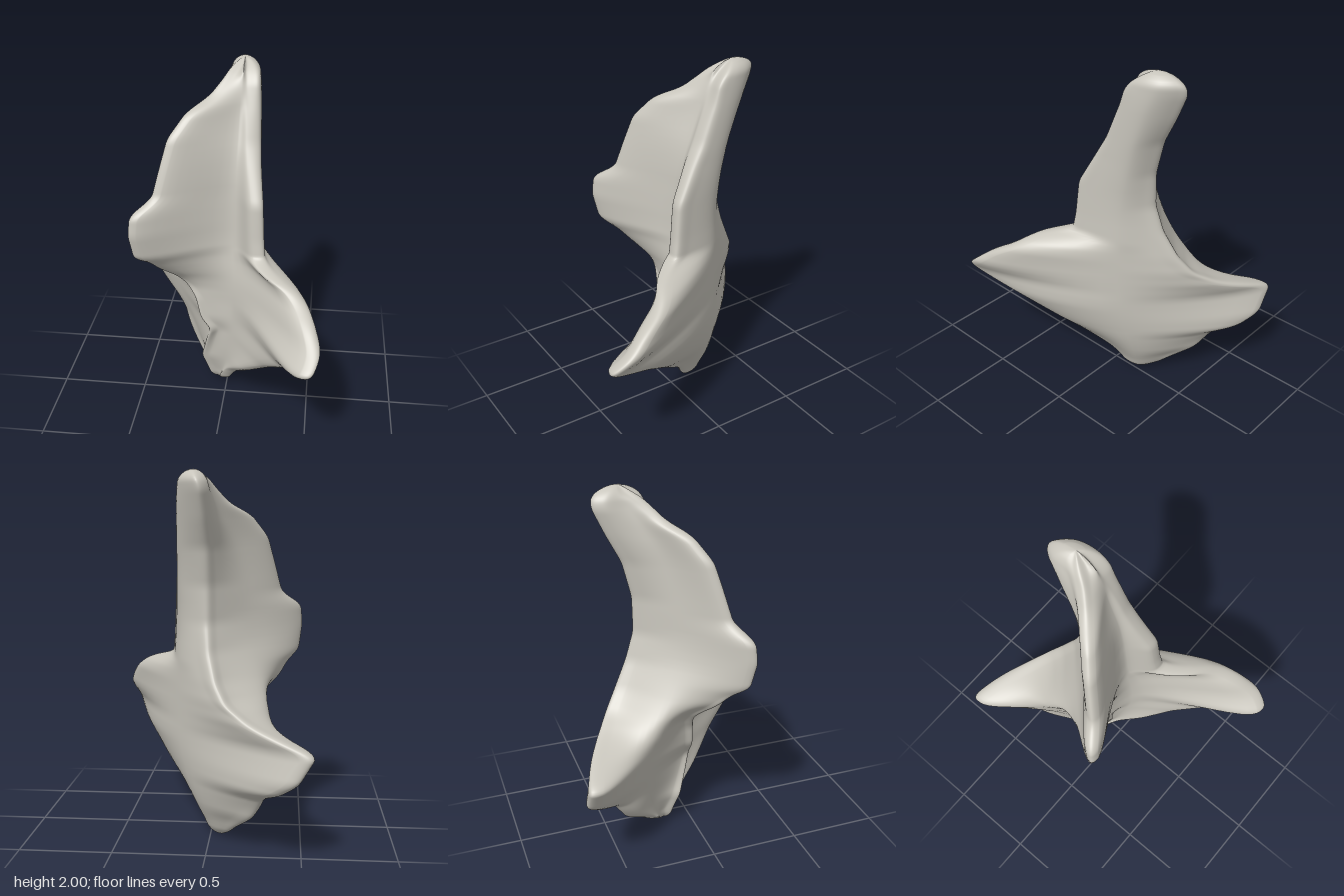
import * as THREE from 'three';

// Rails running up the body, each a list of [y, x, z].
const outerRail = [[0, -0.02, -0.17], [0.1, 0.03, -0.2], [0.25, 0.1, -0.21], [0.5, 0.17, -0.18], [0.9, 0.185, -0.16],
  [1.2, 0.165, -0.17], [1.5, 0.16, -0.23], [1.8, 0.155, -0.33], [1.9, 0.15, -0.37], [2, 0.13, -0.42]];
const frontRail = [[0, 0, -0.1], [0.08, 0.03, -0.06], [0.15, 0.07, -0.01], [0.245, 0.15, 0.11], [0.39, 0.29, 0.26], [0.54, 0.43, 0.46],
  [0.6, 0.48, 0.62], [0.64, 0.51, 0.71], [0.7, 0.545, 0.64], [0.74, 0.55, 0.59], [0.82, 0.515, 0.49], [0.88, 0.47, 0.38],
  [0.94, 0.39, 0.3], [0.97, 0.28, 0.24], [0.99, 0.23, 0.12], [1.1, 0.22, 0.1], [1.3, 0.21, 0.08], [1.48, 0.185, -0.02],
  [1.6, 0.175, -0.09], [1.8, 0.165, -0.17], [1.9, 0.16, -0.2], [2, 0.14, -0.29]];
const frontHollow = [[0, -0.05, -0.12], [0.2, 0, -0.03], [0.5, 0.06, 0.04], [0.8, 0.06, 0.04], [1, 0.04, 0],
  [1.3, 0.04, -0.02], [1.48, 0.05, -0.04], [1.6, 0.06, -0.08], [1.75, 0.06, -0.14], [1.9, 0.07, -0.175], [2, 0.08, -0.26]];
const wingRail = [[0, -0.09, -0.13], [0.1, -0.12, -0.11], [0.2, -0.15, -0.08], [0.35, -0.11, -0.03], [0.44, -0.08, 0],
  [0.52, -0.14, 0], [0.65, -0.17, -0.01], [0.73, -0.22, -0.03], [0.79, -0.28, -0.02], [0.87, -0.37, 0.05], [0.95, -0.42, 0.12],
  [1.0, -0.48, 0.19], [1.15, -0.5, 0.22], [1.26, -0.49, 0.21], [1.34, -0.38, 0.13], [1.5, -0.34, 0.09], [1.65, -0.3, 0.05],
  [1.77, -0.21, -0.03], [1.83, -0.1, -0.13], [1.92, -0.02, -0.21], [2, 0.03, -0.3]];
const backHollow = [[0, -0.09, -0.18], [0.2, -0.17, -0.24], [0.4, -0.25, -0.29], [0.6, -0.34, -0.34], [0.7, -0.34, -0.31],
  [0.8, -0.3, -0.24], [0.9, -0.28, -0.18], [1, -0.25, -0.13], [1.15, -0.22, -0.08], [1.5, -0.16, -0.11], [1.7, -0.11, -0.16],
  [1.85, -0.03, -0.28], [2, 0.02, -0.39]];
const backRail = [[0, -0.08, -0.21], [0.08, -0.13, -0.3], [0.18, -0.23, -0.43], [0.25, -0.27, -0.47], [0.33, -0.3, -0.52],
  [0.37, -0.37, -0.63], [0.45, -0.47, -0.7], [0.6, -0.56, -0.7], [0.66, -0.4, -0.65], [0.72, -0.23, -0.57], [0.8, -0.1, -0.49],
  [0.9, -0.04, -0.42], [1.05, 0, -0.34], [1.2, 0.01, -0.29], [1.4, 0.01, -0.29], [1.6, 0.01, -0.34], [1.75, 0.02, -0.42],
  [1.9, 0.03, -0.49], [2, 0.06, -0.48]];

const clamp = THREE.MathUtils.clamp;

function linear(rail, y) {
  let i = 1;
  while (i < rail.length - 1 && rail[i][0] < y) i++;
  const a = rail[i - 1], b = rail[i], k = clamp((y - a[0]) / (b[0] - a[0]), 0, 1);
  return new THREE.Vector3(a[1] + (b[1] - a[1]) * k, 0, a[2] + (b[2] - a[2]) * k);
}

// Softened position of a rail at height y
function along(rail, y, reach) {
  const p = new THREE.Vector3();
  for (let k = -4; k <= 4; k++) p.add(linear(rail, clamp(y + k * reach / 4, 0, 2)));
  return p.divideScalar(9);
}

// Three rounded arms joined by an outer face and two hollows
function crossSection(y, samples) {
  const [f, w, b] = [frontRail, wingRail, backRail].map(r => along(r, y, 0.025));
  const [o, i2, i1] = [outerRail, frontHollow, backHollow].map(r => along(r, y, 0.1));
  const hub = new THREE.Vector3().add(o).add(i1).add(i2).divideScalar(3);
  const arm = (tip, thick) => {
    const d = tip.clone().sub(hub), t = Math.min(thick, d.length() * 0.4);
    d.normalize();
    const n = new THREE.Vector3(-d.z, 0, d.x);
    const root = tip.clone().addScaledVector(d, -t);
    return [root.clone().addScaledVector(n, -t), tip, root.clone().addScaledVector(n, t)];
  };
  // Where an arm is short, its outer shoulder swells to keep the outer face convex
  const swell = (shoulder, tip) => {
    const full = tip.clone().lerp(o, 0.38);
    full.addScaledVector(full.clone().sub(hub).normalize(), 0.015);
    return shoulder.lerp(full, 1 - THREE.MathUtils.smoothstep(tip.distanceTo(hub), 0.2, 0.5));
  };
  const front = arm(f, 0.045), back = arm(b, 0.05);
  swell(front[0], f);
  swell(back[2], b);
  const pts = [o, ...front, i2, ...arm(w, 0.035), i1, ...back];
  const curve = new THREE.CatmullRomCurve3(pts, true, 'centripetal');
  // Round the body off at both ends
  const e = clamp(Math.min(y / 0.06, (2 - y) / 0.07), 0, 1);
  const s = Math.max(0.02, Math.sqrt(1 - (1 - e) ** 2));
  return Array.from({ length: samples }, (_, j) => {
    const p = curve.getPoint(j / samples).sub(hub).multiplyScalar(s).add(hub);
    return p.setY(y);
  });
}

function bodyGeometry() {
  const samples = 96, levels = [];
  for (const y of [0, 0.001, 0.004, 0.008]) levels.push(y);
  for (let i = 1; i < 200; i++) levels.push(i / 100);
  for (const y of [1.992, 1.996, 1.999, 2]) levels.push(y);
  const pos = [], idx = [];
  levels.forEach((y, i) => {
    for (const p of crossSection(y, samples)) pos.push(p.x, p.y, p.z);
    if (i === 0) return;
    for (let j = 0; j < samples; j++) {
      const k = (j + 1) % samples, lo = (i - 1) * samples, hi = i * samples;
      idx.push(lo + j, hi + j, lo + k, lo + k, hi + j, hi + k);
    }
  });
  // End caps
  const top = (levels.length - 1) * samples;
  for (let j = 1; j < samples - 1; j++) {
    idx.push(0, j, j + 1);
    idx.push(top, top + j + 1, top + j);
  }
  const g = new THREE.BufferGeometry();
  g.setAttribute('position', new THREE.Float32BufferAttribute(pos, 3));
  g.setIndex(idx);
  g.computeVertexNormals();
  return g;
}

export function createModel() {
  const group = new THREE.Group();
  group.name = 'bladedBone';
  const bone = new THREE.MeshStandardMaterial({ color: 0xc8c5bc });
  bone.name = 'pale bone grey';
  const body = new THREE.Mesh(bodyGeometry(), bone);
  body.name = 'threeArmedBody';
  group.add(body);
  return group;
}
